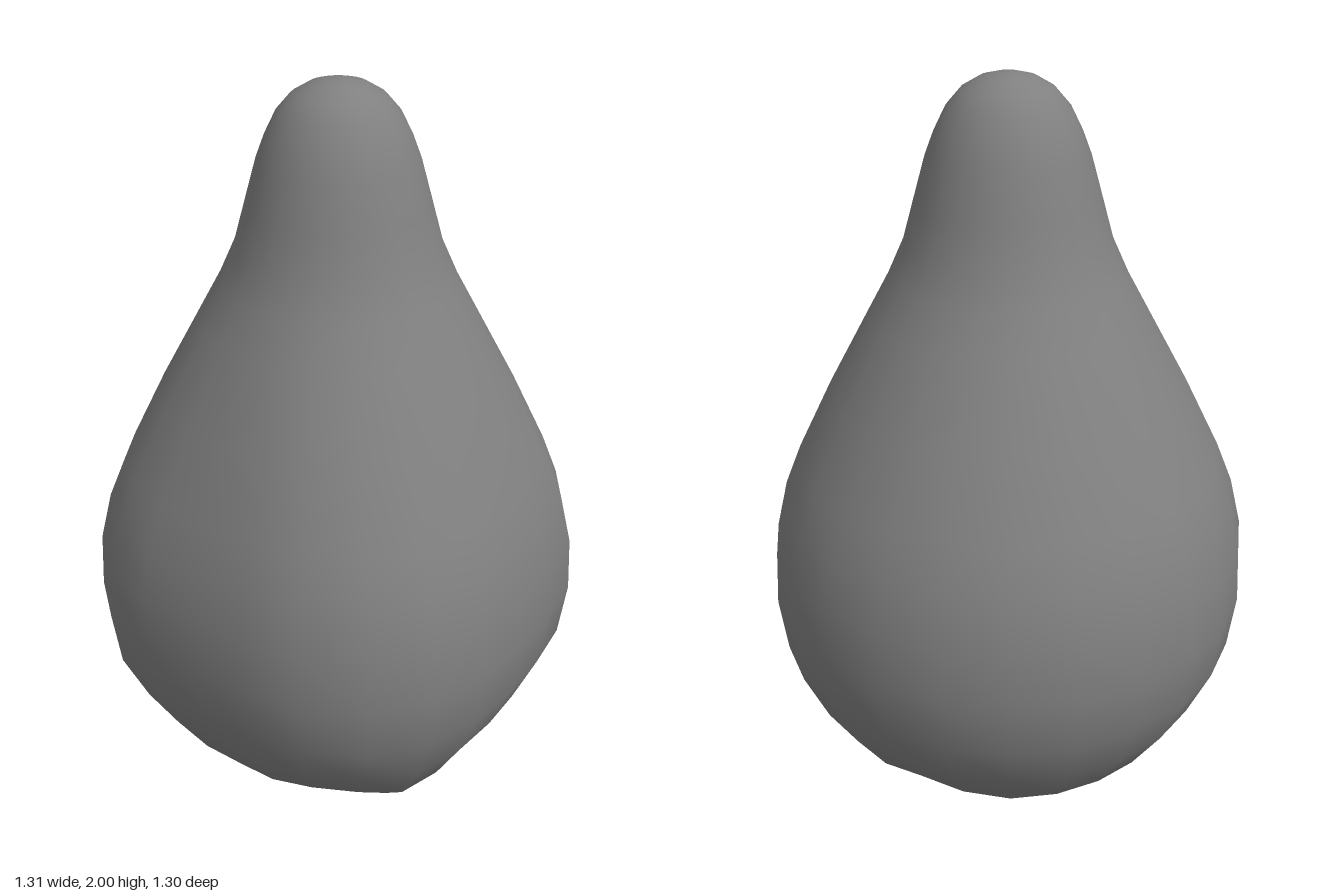
import * as THREE from 'three';
import { mergeVertices } from 'three/addons/utils/BufferGeometryUtils.js';

const SIDES = 24;

// Half profile from the bottom dimple to the tip: [radius, height]
const PROFILE = [
  [0, 0.06], [0.03, 0.035], [0.09, 0.015], [0.17, 0.028], [0.27, 0.062], [0.37, 0.115],
  [0.475, 0.2], [0.565, 0.33], [0.63, 0.47], [0.65, 0.62], [0.642, 0.77], [0.61, 0.9],
  [0.565, 1.01], [0.47, 1.2], [0.36, 1.4], [0.305, 1.5], [0.264, 1.59], [0.236, 1.69],
  [0.205, 1.8], [0.182, 1.86], [0.152, 1.92], [0.115, 1.962], [0.07, 1.988], [0.03, 1.998], [0, 2],
];

// Girth of the belly every 15 degrees, from the front towards the left side
const GIRTH = [
  0.647, 0.622, 0.606, 0.612, 0.645, 0.648, 0.652, 0.655, 0.656, 0.657, 0.657, 0.655,
  0.65, 0.648, 0.642, 0.643, 0.65, 0.658, 0.654, 0.625, 0.597, 0.612, 0.643, 0.65,
];

// Creases (positive) and lobes (negative) around the dimple: [angle in degrees, lift]
const FOLDS = [[-25, 0.045], [5, -0.03], [50, 0.012], [85, -0.012], [122, 0.045], [-100, 0.015]];

function createFruitGeometry() {
  const points = PROFILE.map(([r, y]) => new THREE.Vector2(r, y));
  let geometry = new THREE.LatheGeometry(points, SIDES);
  const pos = geometry.attributes.position;
  for (let i = 0; i < pos.count; i++) {
    const x = pos.getX(i), y = pos.getY(i), z = pos.getZ(i);
    const r = Math.hypot(x, z);
    if (r < 1e-4) continue;
    const angle = Math.atan2(x, z);

    // Uneven belly, fading out towards the neck
    const index = (Math.round(angle / (Math.PI * 2) * SIDES) + SIDES) % SIDES;
    const fade = 1 - THREE.MathUtils.smoothstep(y, 0.85, 1.65);
    const scale = 1 + (GIRTH[index] / 0.65 - 1) * fade;

    // Creased, lobed underside
    let lift = 0;
    if (y < 0.4) {
      const reach = Math.sin(Math.PI * Math.min(r / 0.6, 1));
      for (const [degrees, height] of FOLDS) {
        const d = angle - THREE.MathUtils.degToRad(degrees);
        const turn = Math.atan2(Math.sin(d), Math.cos(d));
        lift += height * reach * Math.exp(-((turn / 0.25) ** 2));
      }
    }
    pos.setXYZ(i, x * scale, Math.max(y + lift, 0), z * scale);
  }

  // Weld the seam so the skin shades smoothly all round
  geometry.deleteAttribute('uv');
  geometry.deleteAttribute('normal');
  geometry = mergeVertices(geometry, 1e-4);
  geometry.computeVertexNormals();
  return geometry;
}

export function createModel() {
  const group = new THREE.Group();
  group.name = 'pear';
  const fruit = new THREE.Mesh(
    createFruitGeometry(),
    new THREE.MeshStandardMaterial({ color: 0x808080 }),
  );
  fruit.name = 'fruitBody';
  group.add(fruit);
  return group;
}
